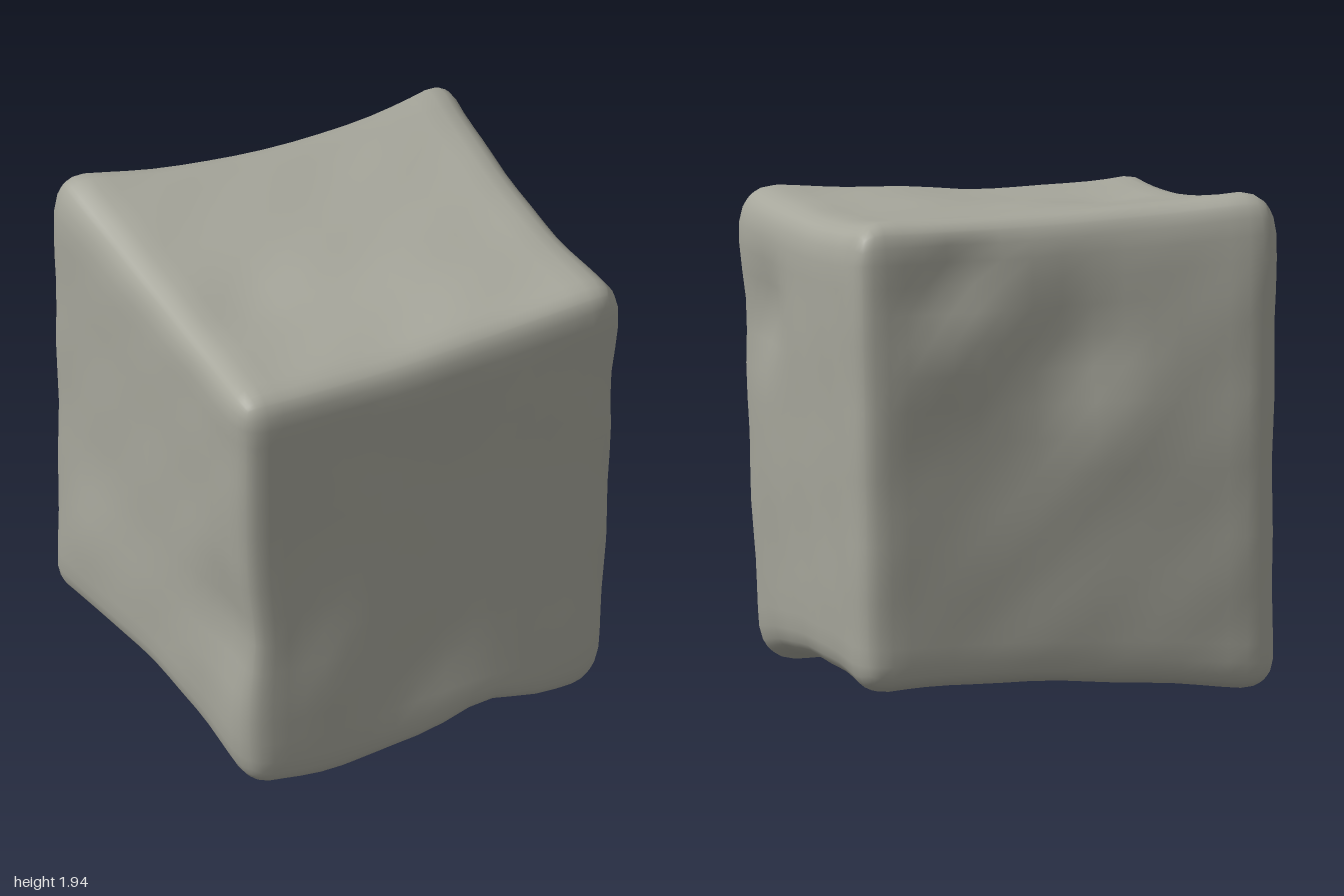
import * as THREE from 'three';
import { mergeVertices } from 'three/addons/utils/BufferGeometryUtils.js';

// Control cage: three layers (bottom, middle, top), each with back, centre and front rows from -x to +x
const CAGE = [
  [[[-.83, .07, -.78], [0, .13, -.73], [.79, .12, -.74]],
   [[-.77, .14, 0], [0, .2, 0], [.80, .16, 0]],
   [[-.71, .02, .75], [0, .04, .76], [.77, .07, .71]]],
  [[[-.83, .95, -.78], [0, .95, -.74], [.82, .95, -.78]],
   [[-.77, .95, 0], [0, .95, 0], [.82, .95, 0]],
   [[-.74, .95, .77], [0, .95, .74], [.83, .95, .71]]],
  [[[-.85, 2.01, -.79], [0, 1.93, -.68], [.85, 1.94, -.83]],
   [[-.78, 1.88, 0], [0, 1.85, 0], [.83, 1.86, 0]],
   [[-.77, 1.86, .83], [0, 1.83, .77], [.85, 1.91, .74]]],
];

// Local lumps and hollows: centre, push, radius
const LUMPS = [
  [[-.35, .05, .62], [0, -.045, 0], .26],
  [[.28, .08, .72], [0, .06, 0], .17],
  [[-.74, .72, .6], [.05, 0, 0], .2],
  [[-.82, .45, -.4], [-.03, 0, 0], .25],
  [[.82, 1.42, .4], [-.045, 0, 0], .16],
  [[.83, 1.7, .6], [.02, 0, 0], .2],
  [[.45, 1.42, -.78], [0, 0, -.05], .2],
  [[.4, 1.7, -.75], [0, 0, .04], .14],
  [[-.05, 1.4, -.74], [0, 0, .045], .16],
  [[-.2, 1.1, -.74], [0, 0, -.025], .2],
  [[-.4, 1.87, .17], [0, -.02, 0], .18],
  [[.3, 1.85, .4], [0, .02, 0], .25],
  [[-.35, .5, .74], [0, 0, .02], .2],
  [[.05, .45, .74], [0, 0, -.015], .2],
];

const weights = t => [t * (t - 1) / 2, 1 - t * t, t * (t + 1) / 2];

// Smoothly bends a point of the unit cube into the cage
function bend(p) {
  const wx = weights(p.x), wy = weights(p.y), wz = weights(p.z);
  const out = new THREE.Vector3();
  CAGE.forEach((layer, j) => layer.forEach((row, k) => row.forEach((c, i) => {
    out.addScaledVector(new THREE.Vector3(...c), wx[i] * wy[j] * wz[k]);
  })));
  return out;
}

function stoneGeometry() {
  const segments = 22, radius = 0.16;
  let geo = new THREE.BoxGeometry(2, 2, 2, segments, segments, segments);
  geo.deleteAttribute('uv');
  geo.deleteAttribute('normal');
  geo = mergeVertices(geo);
  const pos = geo.attributes.position;
  const p = new THREE.Vector3(), core = new THREE.Vector3(), d = new THREE.Vector3();
  const crowd = t => Math.sin(t * Math.PI / 2); // finer grid towards the edges
  for (let i = 0; i < pos.count; i++) {
    p.fromBufferAttribute(pos, i);
    p.set(crowd(p.x), crowd(p.y), crowd(p.z));
    // Round off edges and corners
    core.copy(p).clampScalar(radius - 1, 1 - radius);
    d.copy(p).sub(core).setLength(radius);
    const q = bend(core.add(d));
    // Lumps and hollows
    const base = q.clone();
    for (const [centre, push, r] of LUMPS) {
      const dist = base.distanceTo(new THREE.Vector3(...centre)) / r;
      q.addScaledVector(new THREE.Vector3(...push), Math.exp(-dist * dist));
    }
    // Faint unevenness of worn stone
    const n = Math.sin(base.x * 9 + base.y * 5) * Math.sin(base.y * 8 - base.z * 6) * Math.cos(base.z * 9 + base.x * 4);
    q.addScaledVector(d.normalize(), n * 0.006);
    pos.setXYZ(i, q.x, Math.max(q.y, 0), q.z);
  }
  geo.computeVertexNormals();
  return geo;
}

export function createModel() {
  const group = new THREE.Group();
  group.name = 'stoneBlock';
  const stone = new THREE.MeshStandardMaterial({ color: 0xa6a69b });
  stone.name = 'warm grey stone';
  const block = new THREE.Mesh(stoneGeometry(), stone);
  block.name = 'weatheredBlock';
  group.add(block);
  return group;
}
